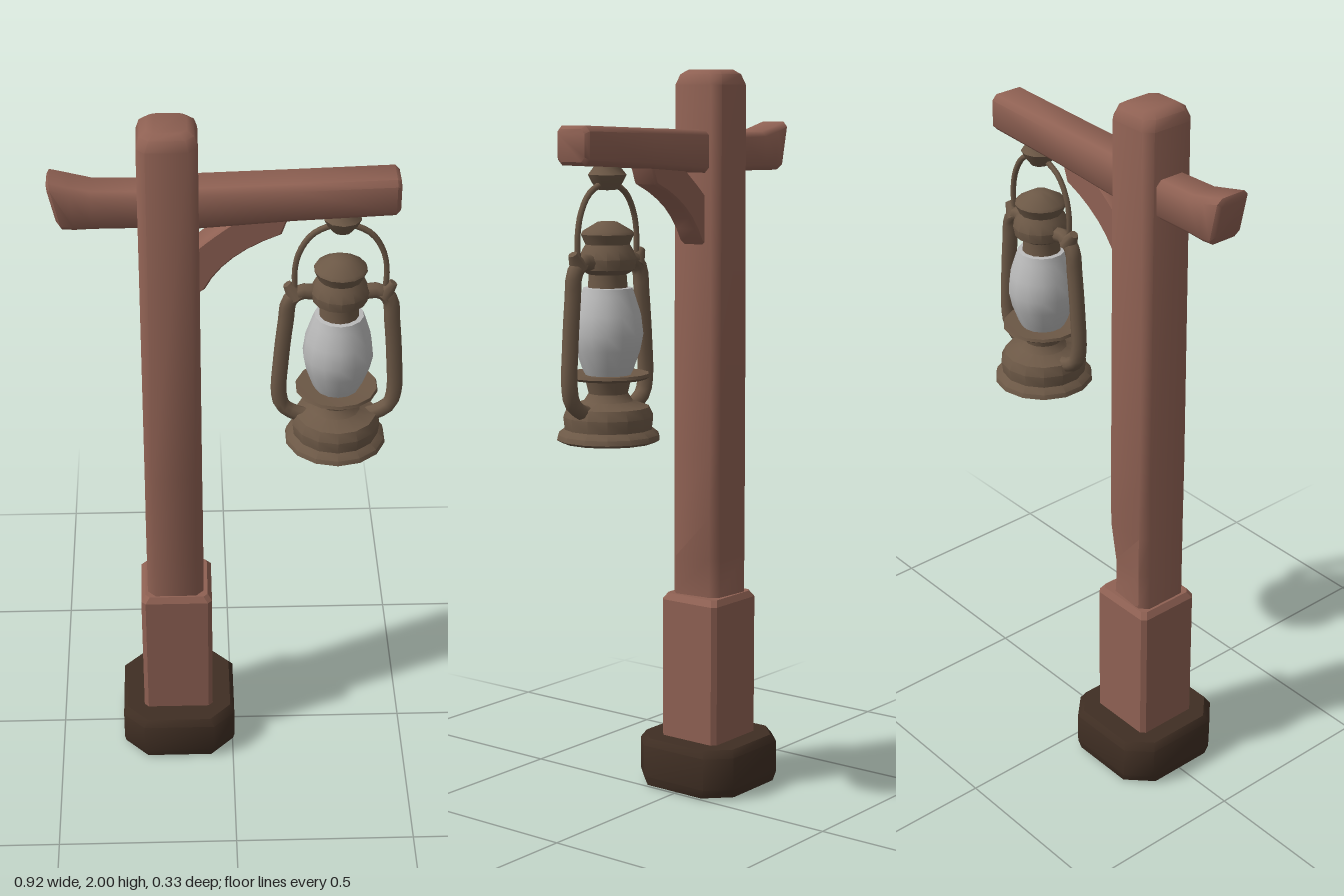
import * as THREE from 'three';
import { toCreasedNormals } from 'three/addons/utils/BufferGeometryUtils.js';

const mat = (name, color, side = THREE.FrontSide) => {
  const m = new THREE.MeshStandardMaterial({ color, side });
  m.name = name;
  return m;
};

// Solid from stacked chamfered rectangles: [y, cx, halfX, halfZ, chamfer, lean]
function loft(sections) {
  const pos = [], idx = [], n = 8;
  for (const [y, cx, hx, hz, c, lean = 0] of sections) {
    const ring = [[-hx + c, hz], [hx - c, hz], [hx, hz - c], [hx, -hz + c],
      [hx - c, -hz], [-hx + c, -hz], [-hx, -hz + c], [-hx, hz - c]];
    for (const [x, z] of ring) pos.push(cx + x, y + lean * x, z);
  }
  for (let i = 0; i < sections.length - 1; i++) {
    for (let j = 0; j < n; j++) {
      const a = i * n + j, b = i * n + (j + 1) % n;
      idx.push(a, b, b + n, a, b + n, a + n);
    }
  }
  const top = (sections.length - 1) * n;
  for (let j = 1; j < n - 1; j++) idx.push(0, j + 1, j, top, top + j, top + j + 1);
  const g = new THREE.BufferGeometry();
  g.setAttribute('position', new THREE.Float32BufferAttribute(pos, 3));
  g.setIndex(idx);
  return g;
}

const smooth = (g, angle = 0.85) => toCreasedNormals(g, angle);

function lathe(points, segments = 14) {
  return smooth(new THREE.LatheGeometry(points.map(p => new THREE.Vector2(...p)), segments), 0.7);
}

function tube(points, radius, segments, sides) {
  const curve = new THREE.CatmullRomCurve3(points.map(p => new THREE.Vector3(p[0], p[1], 0)));
  return new THREE.TubeGeometry(curve, segments, radius, sides);
}

export function createModel() {
  const wood = mat('reddish wood', 0x8f6153);
  const dark = mat('dark foot', 0x3f2e23);
  const metal = mat('aged brass', 0x6c5846, THREE.DoubleSide);
  const glass = mat('pale glass', 0xbababa, THREE.DoubleSide);

  const model = new THREE.Group();
  const add = (parent, name, geometry, material) => {
    const mesh = new THREE.Mesh(geometry, material);
    mesh.name = name;
    parent.add(mesh);
    return mesh;
  };

  // Foot, hollowed underneath
  const foot = add(model, 'foot', smooth(loft([
    [0.1, 0, 0.1, 0.1, 0.03], [0, 0, 0.145, 0.145, 0.06], [0.005, 0, 0.158, 0.16, 0.065],
    [0.03, 0, 0.162, 0.165, 0.06], [0.12, 0, 0.162, 0.165, 0.06], [0.14, 0, 0.15, 0.153, 0.06],
  ])), dark);
  foot.position.x = -0.157;

  // Sleeve around the bottom of the post
  const sleeve = add(model, 'postSleeve', smooth(loft([
    [0.12, 0, 0.1, 0.095, 0.012], [0.535, 0, 0.1, 0.095, 0.012], [0.552, 0, 0.088, 0.085, 0.012],
  ]), 0.5), wood);
  sleeve.position.x = -0.158;

  // Post with a worn notch in its rear corner
  const postGeometry = loft([
    [0.5, 0, 0.079, 0.08, 0.022], [0.56, 0, 0.079, 0.08, 0.022], [0.66, 0, 0.079, 0.08, 0.022],
    [0.78, 0, 0.079, 0.08, 0.022], [0.96, 0, 0.078, 0.08, 0.02], [1.96, 0, 0.076, 0.079, 0.022],
    [1.988, 0, 0.068, 0.07, 0.024], [2, 0, 0.05, 0.053, 0.018],
  ]);
  const p = postGeometry.attributes.position;
  for (let i = 0; i < p.count; i++) {
    if (p.getX(i) > 0.05 && p.getZ(i) < -0.05 && Math.abs(p.getY(i) - 0.61) < 0.06) {
      p.setX(i, p.getX(i) - 0.012);
      p.setZ(i, p.getZ(i) + 0.008);
    }
  }
  add(model, 'post', smooth(postGeometry), wood).position.x = -0.16;

  // Crossbeam, lofted upright then laid along x (height is negative local x)
  const beam = loft([
    [-0.449, -1.795, 0.054, 0.04, 0.012, 0.22], [-0.44, -1.793, 0.066, 0.05, 0.014, 0.22],
    [-0.4, -1.786, 0.06, 0.052, 0.014, 0.1], [-0.35, -1.78, 0.053, 0.05, 0.014],
    [-0.24, -1.779, 0.052, 0.049, 0.014], [-0.08, -1.783, 0.057, 0.053, 0.014],
    [0.15, -1.795, 0.052, 0.053, 0.014], [0.41, -1.806, 0.05, 0.053, 0.014],
    [0.421, -1.806, 0.041, 0.045, 0.012],
  ]);
  beam.rotateZ(-Math.PI / 2);
  add(model, 'crossbeam', smooth(beam), wood);

  // Curved brace under the beam
  const brace = new THREE.Shape();
  brace.moveTo(-0.11, 1.52);
  brace.lineTo(-0.075, 1.545);
  brace.quadraticCurveTo(-0.025, 1.65, 0.12, 1.705);
  brace.lineTo(0.14, 1.76);
  brace.lineTo(0.04, 1.76);
  brace.quadraticCurveTo(-0.05, 1.7, -0.11, 1.64);
  brace.closePath();
  const braceGeometry = new THREE.ExtrudeGeometry(brace, {
    depth: 0.06, bevelThickness: 0.008, bevelSize: 0.006, bevelSegments: 1, curveSegments: 6,
  });
  braceGeometry.translate(0, 0, -0.03);
  add(model, 'brace', smooth(braceGeometry), wood);

  // Lantern
  const lantern = new THREE.Group();
  lantern.name = 'lantern';
  lantern.position.x = 0.28;
  model.add(lantern);

  add(lantern, 'oilTank', lathe([
    [0, 1.045], [0.125, 1.038], [0.137, 1.045], [0.134, 1.058], [0.116, 1.072], [0.12, 1.105],
    [0.108, 1.13], [0.065, 1.145], [0.052, 1.165], [0.06, 1.198],
  ]), metal);
  add(lantern, 'burnerPlate', lathe([
    [0.05, 1.198], [0.1, 1.203], [0.111, 1.21], [0.108, 1.218], [0.06, 1.214], [0, 1.214],
  ]), metal);
  add(lantern, 'glassGlobe', lathe([
    [0.06, 1.214], [0.068, 1.23], [0.086, 1.28], [0.094, 1.32], [0.088, 1.37],
    [0.072, 1.42], [0.065, 1.44], [0.045, 1.442],
  ]), glass);
  add(lantern, 'chimneyCap', lathe([
    [0, 1.435], [0.053, 1.435], [0.05, 1.475], [0.072, 1.488], [0.077, 1.515], [0.066, 1.54],
    [0.058, 1.552], [0.07, 1.578], [0.066, 1.586], [0.025, 1.61], [0, 1.612],
  ]), metal);

  // Side air tubes with the lugs that hold the wire handle
  for (const s of [-1, 1]) {
    const name = s > 0 ? 'left' : 'right';
    add(lantern, name + 'AirTube', tube([
      [0.05, 1.505], [0.1, 1.51], [0.13, 1.485], [0.139, 1.42], [0.15, 1.3],
      [0.154, 1.19], [0.142, 1.15], [0.105, 1.125], [0.06, 1.115],
    ].map(([x, y]) => [s * x, y]), 0.021, 24, 8), metal);
    const lug = add(lantern, name + 'HandleLug', new THREE.CylinderGeometry(0.012, 0.026, 0.045, 8), metal);
    lug.position.set(s * 0.125, 1.515, 0);
    lug.rotation.z = -s * 0.6;
  }

  // Wire handle and the hook it hangs from
  add(lantern, 'wireHandle', tube([
    [-0.117, 1.51], [-0.118, 1.58], [-0.105, 1.635], [-0.07, 1.685], [0, 1.71],
    [0.07, 1.685], [0.105, 1.635], [0.118, 1.58], [0.117, 1.51],
  ], 0.008, 28, 6), metal);
  add(lantern, 'hangingHook', lathe([
    [0, 1.69], [0.026, 1.692], [0.04, 1.71], [0.05, 1.73], [0.036, 1.748], [0.03, 1.77], [0, 1.77],
  ], 10), metal);

  return model;
}
